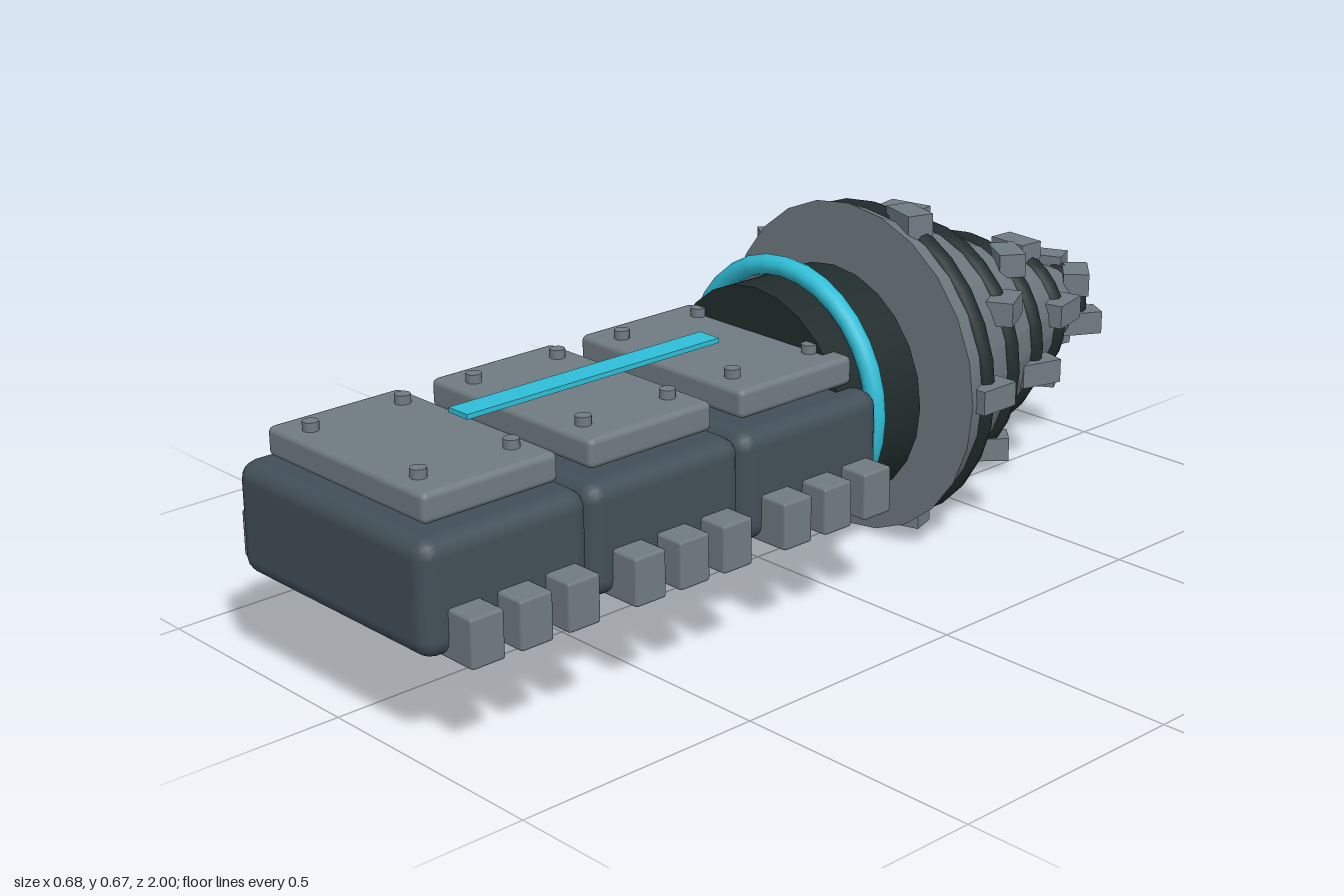
import * as THREE from 'three';
import { RoundedBoxGeometry } from 'three/addons/geometries/RoundedBoxGeometry.js';

export function createModel() {
  const mat = (name, color) => {
    const m = new THREE.MeshStandardMaterial({ color });
    m.name = name;
    return m;
  };
  const steel = mat('steel grey', 0x707b82);
  const hull = mat('slate blue', 0x424f58);
  const dark = mat('blackened metal', 0x212c2c);
  const cyan = mat('glowing cyan', 0x2fbfd8);

  const model = new THREE.Group();
  model.name = 'drillMachine';
  const CX = -0.007; // centre line
  const CY = 0.337; // drill axis height

  const add = (name, geo, material, x, y, z, parent = model) => {
    const mesh = new THREE.Mesh(geo, material);
    mesh.name = name;
    mesh.position.set(x, y, z);
    parent.add(mesh);
    return mesh;
  };
  // Cylinder or cone along z; rBack faces -z, rFront faces +z
  const alongZ = (rBack, rFront, length, sides) =>
    new THREE.CylinderGeometry(rFront, rBack, length, sides).rotateX(Math.PI / 2);

  // Three hull sections, each with an armour plate, bolts and track pads
  const hullGeo = new RoundedBoxGeometry(0.538, 0.213, 0.358, 2, 0.034);
  const plateGeo = new RoundedBoxGeometry(0.445, 0.056, 0.285, 2, 0.012);
  const boltGeo = new THREE.CylinderGeometry(0.015, 0.015, 0.03, 10);
  const padGeo = new RoundedBoxGeometry(0.092, 0.092, 0.07, 1, 0.006);
  [0.82, 0.465, 0.11].forEach((z, i) => {
    const section = new THREE.Group();
    section.name = 'hullSection' + (i + 1);
    section.position.set(CX, 0, z);
    model.add(section);
    add('hullBlock', hullGeo, hull, 0, 0.2945, 0, section);
    add('armourPlate', plateGeo, steel, 0, 0.437, -0.005, section);
    for (const side of [-1, 1]) {
      for (const end of [-1, 1]) {
        add('bolt', boltGeo, steel, side * 0.152, 0.467, end * 0.098 - 0.005, section);
      }
      for (const k of [-1, 0, 1]) {
        add('trackPad', padGeo, steel, side * 0.283, 0.231, k * 0.103 - 0.006, section);
      }
    }
  });

  // Light strip along the back
  add('lightStrip', new THREE.BoxGeometry(0.052, 0.0095, 0.594), cyan, CX, 0.4835, 0.415);

  // Collar between hull and drill, with its light ring
  add('collar', alongZ(0.235, 0.235, 0.213, 24), dark, CX, 0.32, -0.106);
  add('lightRing', new THREE.TorusGeometry(0.243, 0.02, 10, 32), cyan, CX, 0.336, -0.079);

  // Drill head
  const drill = new THREE.Group();
  drill.name = 'drillHead';
  drill.position.set(CX, CY, 0);
  model.add(drill);
  add('drillCone', alongZ(0.06, 0.334, 0.65, 24), steel, 0, 0, -0.577, drill);
  add('drillTip', alongZ(0, 0.06, 0.12, 16), steel, 0, 0, -0.94, drill);

  // Dark bands, each carrying five teeth that spiral towards the tip
  const toothGeo = new THREE.BoxGeometry(0.054, 0.048, 0.09);
  for (let i = 0; i < 5; i++) {
    const z = -0.32 - i * 0.141;
    const r = 0.304 - i * 0.06;
    add('drillBand', new THREE.TorusGeometry(r, 0.02, 8, 28), dark, 0, 0, z, drill);
    for (let j = 0; j < 5; j++) {
      const a = i * 0.5 + (j * Math.PI * 2) / 5;
      const R = r + 0.012;
      const tooth = add('drillTooth', toothGeo, steel, R * Math.cos(a), R * Math.sin(a) + 0.003, z, drill);
      tooth.rotation.y = a;
    }
  }
  return model;
}
